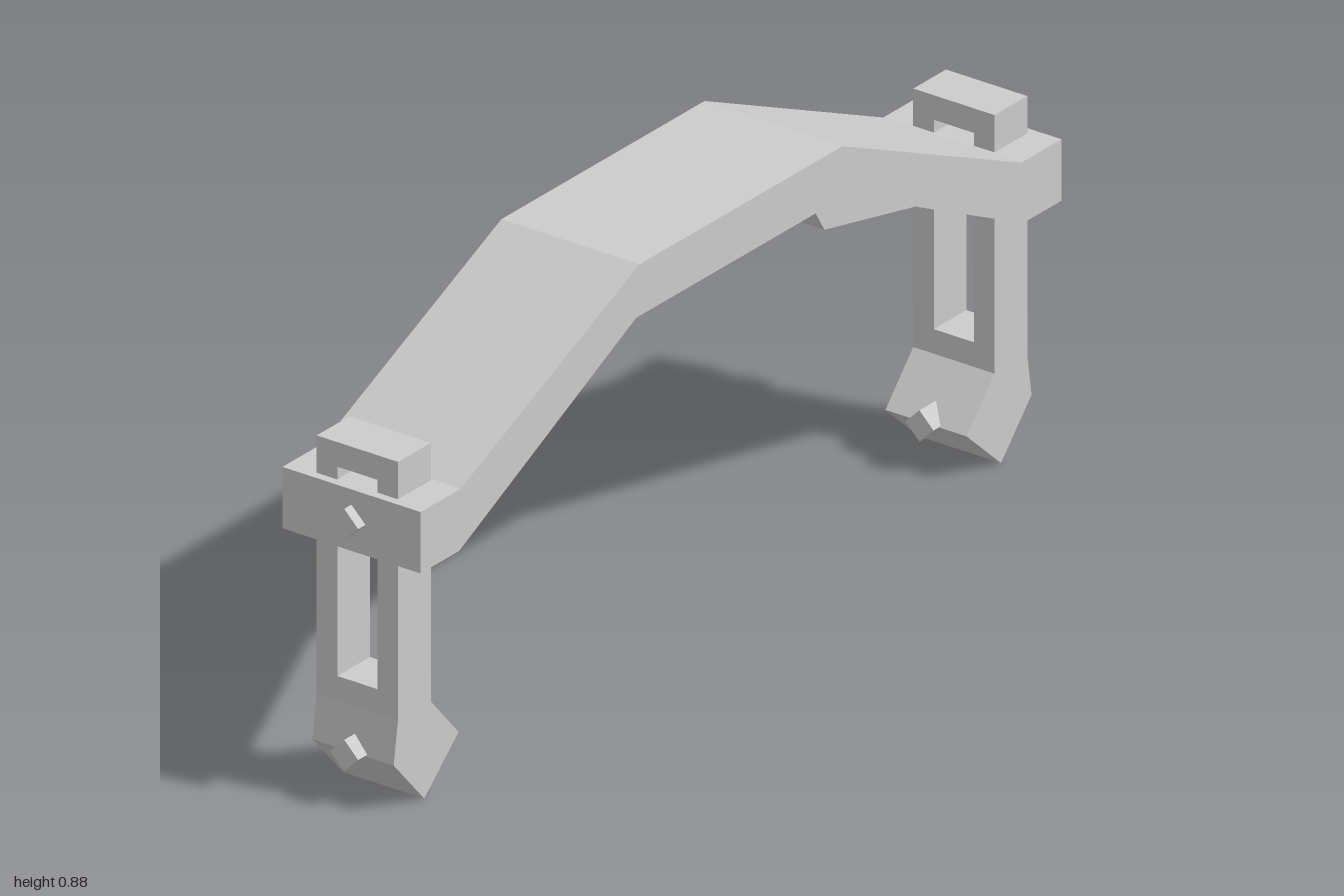
import * as THREE from 'three';

const material = new THREE.MeshStandardMaterial({ color: 0xcccccc, flatShading: true });

function part(name, geometry, parent) {
  const mesh = new THREE.Mesh(geometry, material);
  mesh.name = name;
  parent.add(mesh);
  return mesh;
}

const outline = pts => new THREE.Shape(pts.map(p => new THREE.Vector2(...p)));

// Extrudes a front profile (x, y) symmetrically about z = 0.
function slab(pts, width) {
  return new THREE.ExtrudeGeometry(outline(pts), { depth: width, bevelEnabled: false })
    .translate(0, 0, -width / 2);
}

// Square peg running along x, standing on its corner.
function peg(x0, x1, y, r) {
  return new THREE.CylinderGeometry(r, r, x1 - x0, 4)
    .rotateZ(Math.PI / 2)
    .translate((x0 + x1) / 2, y, 0);
}

// One end of the model, built on the +x side.
function createSide(name) {
  const side = new THREE.Group();
  side.name = name;

  // upright with a tall slot, drawn in (z, y) and extruded along x
  const upright = outline([[-0.093, 0.187], [0.093, 0.187], [0.093, 0.716], [-0.093, 0.716]]);
  upright.holes.push(outline([[-0.046, 0.24], [-0.046, 0.666], [0.046, 0.666], [0.046, 0.24]]));
  part('slottedLeg', new THREE.ExtrudeGeometry(upright, { depth: 0.1, bevelEnabled: false })
    .rotateY(Math.PI / 2).translate(0.86, 0, 0), side);

  // pointed foot
  part('foot', slab([[0.86, 0.19], [0.775, 0.095], [0.88, 0], [0.973, 0.103], [0.96, 0.19]], 0.186), side);

  // pegs through the bar end and the foot
  part('barPeg', peg(0.95, 1, 0.577, 0.032), side);
  part('outerFootPeg', peg(0.93, 1, 0.107, 0.032), side);
  part('innerFootPeg', peg(0.755, 0.84, 0.097, 0.032), side);

  // triangular brace under the sloping arm
  part('brace', slab([[0.32, 0.785], [0.405, 0.645], [0.75, 0.57], [0.76, 0.58]], 0.09), side);

  // short square peg hanging below the middle of the bar
  part('underPeg', new THREE.CylinderGeometry(0.041, 0.041, 0.05, 4).translate(0.157, 0.775, 0), side);
  return side;
}

export function createModel() {
  const model = new THREE.Group();
  model.name = 'archedHandle';

  // arched crossbar, right half mirrored to the left
  const top = [[0.978, 0.64], [0.855, 0.64], [0.31, 0.885]];
  const bottom = [[0.32, 0.78], [0.86, 0.515], [0.978, 0.515]];
  const flip = pts => pts.map(([x, y]) => [-x, y]).reverse();
  part('crossbar', slab([...bottom, ...top, ...flip(top), ...flip(bottom)], 0.316), model);

  // two matching ends
  const left = createSide('leftSide');
  const right = createSide('rightSide');
  right.rotation.y = Math.PI;
  model.add(left, right);
  return model;
}
